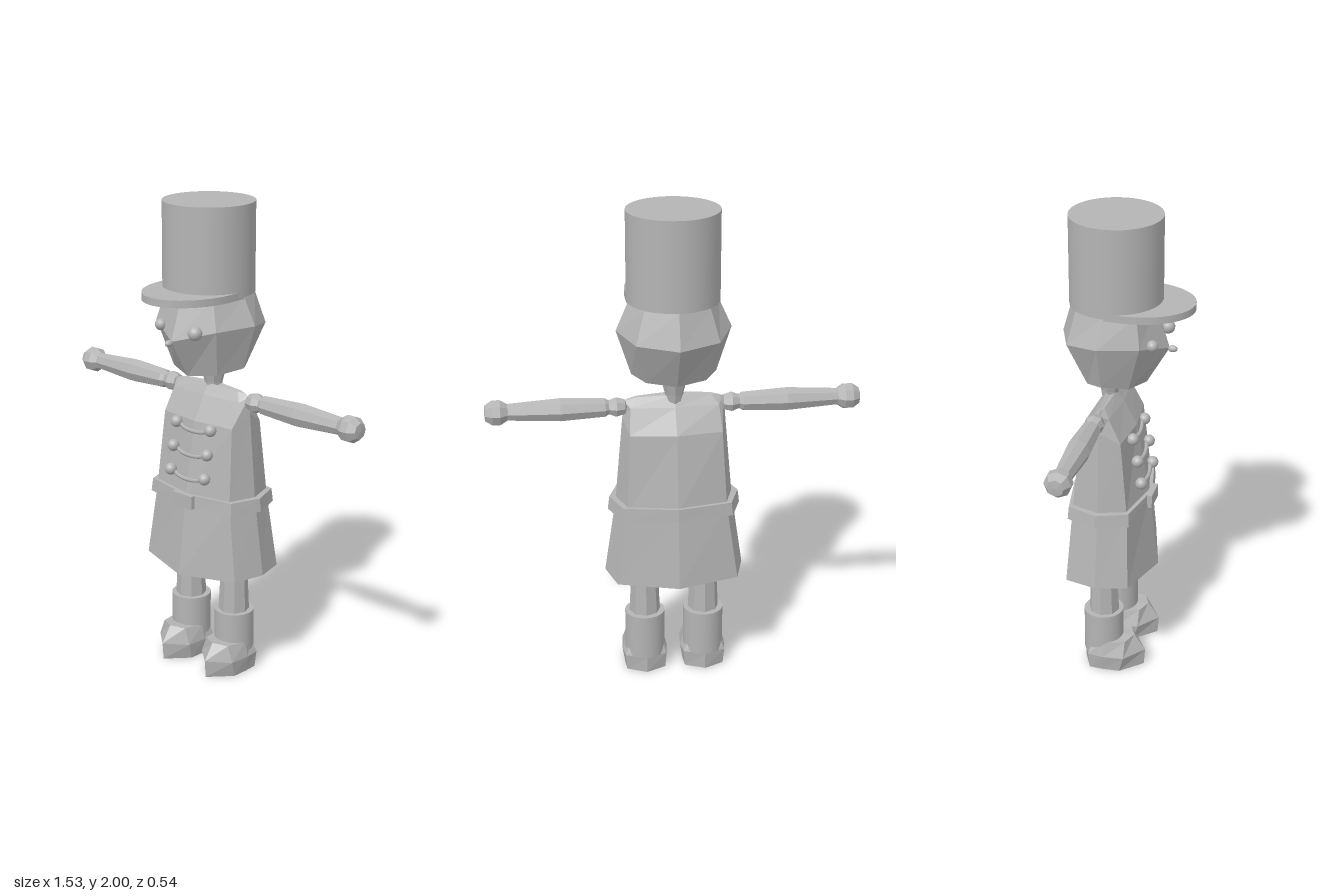
import * as THREE from 'three';

const grey = new THREE.MeshStandardMaterial({ color: 0xb4b4b4 });
grey.name = 'plain grey';
const facetedGrey = grey;

// Turns a geometry into separate flat facets
function faceted(geo) {
  const g = geo.index ? geo.toNonIndexed() : geo;
  g.computeVertexNormals();
  return g;
}

// Skins a stack of closed rings, bottom to top, with capped ends
function loft(rings) {
  const n = rings[0].length, pos = [];
  const tri = (...p) => p.forEach((v) => pos.push(...v));
  const middle = (r) => [0, 1, 2].map((k) => r.reduce((s, p) => s + p[k], 0) / n);
  for (let j = 0; j < n; j++) {
    const k = (j + 1) % n;
    for (let i = 0; i < rings.length - 1; i++) {
      const lo = rings[i], hi = rings[i + 1];
      tri(lo[j], lo[k], hi[k]);
      tri(lo[j], hi[k], hi[j]);
    }
    const first = rings[0], last = rings[rings.length - 1];
    tri(middle(first), first[k], first[j]);
    tri(middle(last), last[j], last[k]);
  }
  const g = new THREE.BufferGeometry();
  g.setAttribute('position', new THREE.Float32BufferAttribute(pos, 3));
  g.computeVertexNormals();
  return g;
}

// Eight-point ring: centre front, front corner, side, back corner, centre back, mirrored
// y values: front, corner front, side, corner back, back
function ring(ys, zFront, xc, zcf, xs, zs, zcb, zBack) {
  const [y0, y1, y2, y3, y4] = Array.isArray(ys) ? ys : [ys, ys, ys, ys, ys];
  return [
    [0, y0, zFront], [xc, y1, zcf], [xs, y2, zs], [xc, y3, zcb],
    [0, y4, zBack], [-xc, y3, zcb], [-xs, y2, zs], [-xc, y1, zcf],
  ];
}

function lathe(points, sides) {
  return faceted(new THREE.LatheGeometry(points.map(([r, y]) => new THREE.Vector2(r, y)), sides));
}

export function createModel() {
  const model = new THREE.Group();
  model.name = 'figure';
  const add = (name, geo, x = 0, y = 0, z = 0, parent = model) => {
    const m = new THREE.Mesh(geo, facetedGrey);
    m.name = name;
    m.position.set(x, y, z);
    parent.add(m);
    return m;
  };

  // Coat with flared skirt
  add('coat', loft([
    ring([0.445, 0.46, 0.465, 0.46, 0.45], 0.13, 0.25, 0.06, 0.29, -0.07, -0.205, -0.26),
    ring(0.78, 0.09, 0.205, 0.045, 0.243, -0.07, -0.185, -0.225),
    ring([1.1, 1.1, 1.15, 1.1, 1.1], 0.035, 0.188, 0.015, 0.21, -0.07, -0.155, -0.18),
    ring([1.2, 1.2, 1.22, 1.2, 1.2], -0.02, 0.18, -0.035, 0.203, -0.07, -0.105, -0.12),
    ring([1.245, 1.237, 1.23, 1.237, 1.245], -0.05, 0.15, -0.06, 0.19, -0.07, -0.08, -0.09),
  ]));

  // Belt and buckle
  add('belt', loft([
    ring(0.745, 0.106, 0.228, 0.06, 0.275, -0.07, -0.2, -0.24),
    ring(0.8, 0.102, 0.222, 0.056, 0.268, -0.07, -0.196, -0.236),
  ]));
  add('buckle', new THREE.BoxGeometry(0.11, 0.057, 0.02), 0, 0.773, 0.103);

  // Buttons joined by sagging cords
  [[1.08, 0.03], [0.98, 0.05], [0.88, 0.066]].forEach(([y, z]) => {
    for (const s of [1, -1]) {
      add('button', new THREE.SphereGeometry(0.025, 16, 12), s * 0.095, y, z + 0.012);
    }
    const cord = new THREE.CatmullRomCurve3([
      new THREE.Vector3(-0.095, y, z),
      new THREE.Vector3(-0.045, y - 0.018, z + 0.012),
      new THREE.Vector3(0.045, y - 0.018, z + 0.012),
      new THREE.Vector3(0.095, y, z),
    ]);
    add('cord', new THREE.TubeGeometry(cord, 12, 0.009, 6));
  });

  // Neck
  add('neck', lathe([[0, -0.08], [0.03, -0.07], [0.038, -0.02], [0.058, 0.06], [0, 0.06]], 8),
    0, 1.27, -0.08);

  // Faceted head
  add('head', loft([
    ring([1.3, 1.315, 1.335, 1.32, 1.31], 0.075, 0.12, 0.03, 0.172, -0.07, -0.14, -0.175),
    ring([1.46, 1.51, 1.52, 1.5, 1.49], 0.168, 0.165, 0.085, 0.232, -0.07, -0.21, -0.272),
    ring(1.635, 0.11, 0.13, 0.065, 0.18, -0.06, -0.18, -0.23),
  ]));
  add('nose', new THREE.SphereGeometry(0.014, 10, 8), 0, 1.457, 0.18).scale.z = 1.5;
  add('leftEye', new THREE.SphereGeometry(0.029, 16, 12), 0.1, 1.506, 0.137);
  add('rightEye', new THREE.SphereGeometry(0.024, 16, 12), -0.103, 1.506, 0.122);

  // Tall hat with a front peak
  add('hat', new THREE.CylinderGeometry(0.187, 0.187, 0.365, 48), 0, 1.8175, -0.05);
  const peak = new THREE.Shape();
  peak.moveTo(-0.185, 0.055);
  peak.lineTo(-0.185, -0.03);
  peak.absellipse(0, -0.03, 0.185, 0.24, Math.PI, Math.PI * 2, false);
  peak.lineTo(0.185, 0.055);
  peak.closePath();
  const peakGeo = new THREE.ExtrudeGeometry(peak, { depth: 0.03, bevelEnabled: false, curveSegments: 32 });
  peakGeo.rotateX(-Math.PI / 2);
  add('hatPeak', peakGeo, 0, 1.626, 0);

  // Arms, straight out to the sides
  const armProfile = [
    [0, 0.19], [0.032, 0.2], [0.042, 0.235], [0.03, 0.265], [0.04, 0.28],
    [0.05, 0.46], [0.036, 0.67], [0, 0.68],
  ];
  const handProfile = [[0, -0.05], [0.036, -0.042], [0.054, -0.014], [0.054, 0.018], [0.034, 0.047], [0, 0.05]];
  for (const s of [1, -1]) {
    const arm = new THREE.Group();
    arm.name = s > 0 ? 'leftArm' : 'rightArm';
    arm.position.set(0, 1.2, -0.08);
    arm.rotation.z = -s * Math.PI / 2;
    add('sleeve', lathe(armProfile, 8), 0, 0, 0, arm);
    add('hand', lathe(handProfile, 8), 0, 0.713, 0, arm);
    model.add(arm);
  }

  // Legs with boots and pointed shoes
  for (const s of [1, -1]) {
    const leg = new THREE.Group();
    leg.name = s > 0 ? 'leftLeg' : 'rightLeg';
    leg.position.x = s * 0.125;
    add('trouserLeg', faceted(new THREE.CylinderGeometry(0.054, 0.068, 0.3, 8)), 0, 0.35, -0.075, leg);
    add('bootShaft', new THREE.CylinderGeometry(0.084, 0.084, 0.195, 32), 0, 0.1675, -0.077, leg);
    add('shoe', loft([
      ring(0, 0.1, 0.082, 0.01, 0.085, -0.06, -0.12, -0.158),
      ring([0.075, 0.07, 0.07, 0.07, 0.07], 0.106, 0.088, 0.03, 0.096, -0.06, -0.125, -0.16),
      ring([0.145, 0.14, 0.135, 0.13, 0.13], 0.058, 0.062, 0.03, 0.08, -0.06, -0.11, -0.14),
    ]), 0, 0, 0, leg);
    model.add(leg);
  }

  return model;
}
